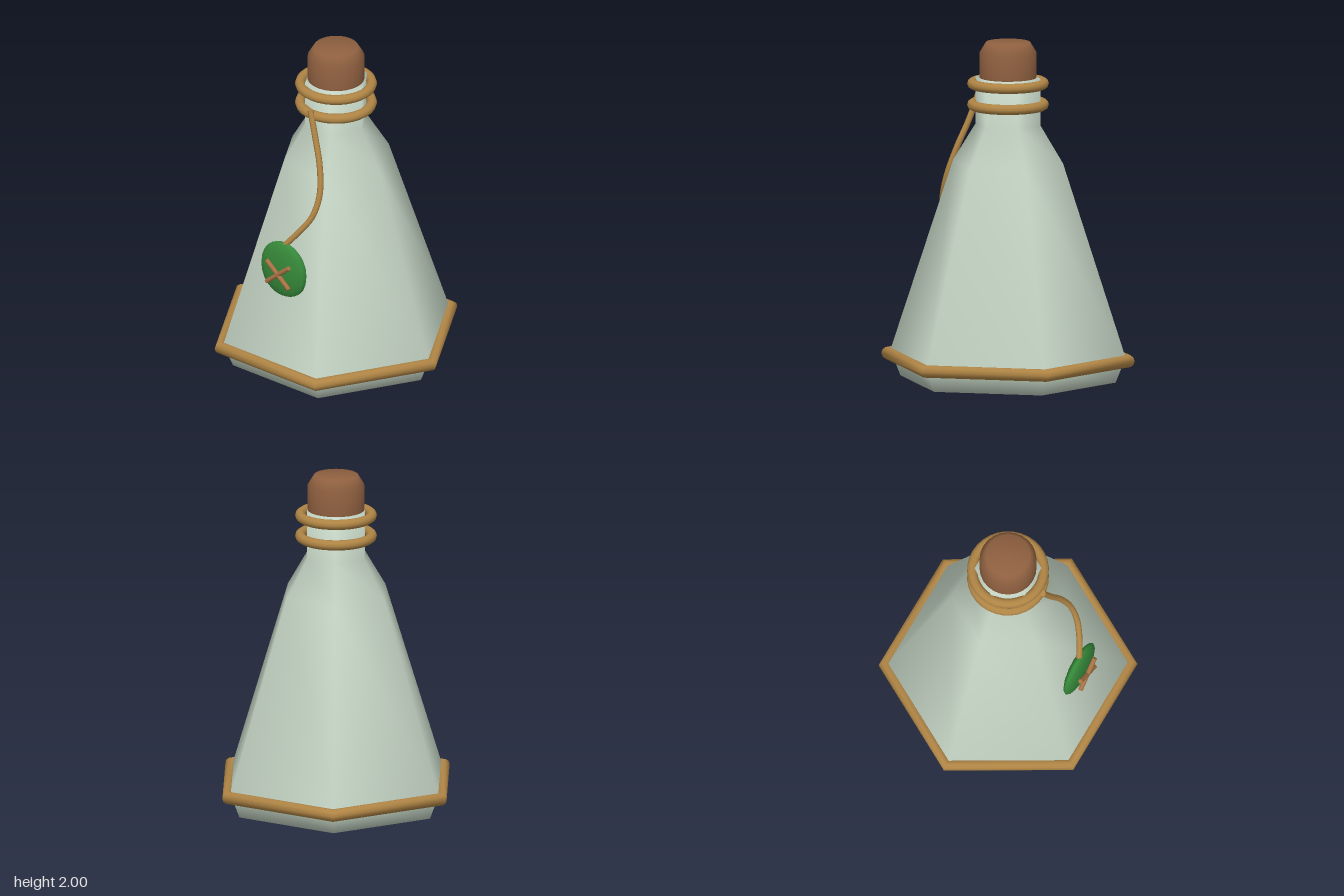
import * as THREE from 'three';

const material = (name, color) => {
  const m = new THREE.MeshStandardMaterial({ color });
  m.name = name;
  return m;
};

export function createModel() {
  const glass = material('pale green glass', 0xc6d6c6);
  const rope = material('golden rope', 0xb08545);
  const cork = material('brown cork', 0x8f6040);
  const wax = material('green wax', 0x36893a);
  const twig = material('light brown twig', 0xa87445);

  const model = new THREE.Group();
  model.name = 'corkedBottle';
  const add = (name, geometry, mat, x = 0, y = 0, z = 0) => {
    const mesh = new THREE.Mesh(geometry, mat);
    mesh.name = name;
    mesh.position.set(x, y, z);
    model.add(mesh);
    return mesh;
  };
  const lathe = (profile, sides) => new THREE.LatheGeometry(
    profile.map(([r, y]) => new THREE.Vector2(r, y)), sides, Math.PI / 2);
  const ring = (radius, tube, sides) =>
    new THREE.TorusGeometry(radius, tube, 10, sides).rotateX(Math.PI / 2);

  // Six-sided bottle, corners on the x axis
  add('bottle', lathe([
    [0, 0], [0.645, 0], [0.705, 0.15], [0.33, 1.29],
    [0.195, 1.51], [0.195, 1.79], [0, 1.79],
  ], 6), glass);

  // Stopper with a rounded top edge
  add('stopper', lathe([
    [0, 1.7], [0.16, 1.7], [0.168, 1.8], [0.167, 1.94], [0.13, 2], [0, 2],
  ], 24), cork);

  // Rope bands
  add('baseBand', ring(0.722, 0.037, 6), rope, 0, 0.13, 0);
  for (const [name, y] of [['lowerNeckRing', 1.63], ['upperNeckRing', 1.755]]) {
    add(name, ring(0.21, 0.03, 32), rope, 0, y, 0);
  }

  // Hanging cord from the neck to the tag
  const path = new THREE.CatmullRomCurve3([
    [0, 1.67, 0.235], [0.055, 1.52, 0.258], [0.12, 1.36, 0.295], [0.155, 1.2, 0.34],
    [0.138, 1.07, 0.39], [0.07, 0.96, 0.443], [0, 0.87, 0.48],
  ].map(p => new THREE.Vector3(...p)));
  add('cord', new THREE.TubeGeometry(path, 32, 0.018, 8), rope);
  // End cap closes the top of the cord
  const cap = add('cordEnd', new THREE.CircleGeometry(0.018, 8), rope, 0, 1.67, 0.235);
  cap.quaternion.setFromUnitVectors(
    new THREE.Vector3(0, 0, 1), path.getTangent(0).negate());

  // Round tag with a crossed pair of sticks
  add('tag', new THREE.SphereGeometry(1, 16, 12).scale(0.17, 0.18, 0.045), wax, 0, 0.715, 0.48);
  for (const side of [-1, 1]) {
    const bar = add(side < 0 ? 'crossBarRight' : 'crossBarLeft',
      new THREE.CylinderGeometry(0.014, 0.014, 0.22, 8), twig, 0, 0.702, 0.537);
    bar.rotation.z = side * THREE.MathUtils.degToRad(50);
  }

  return model;
}
